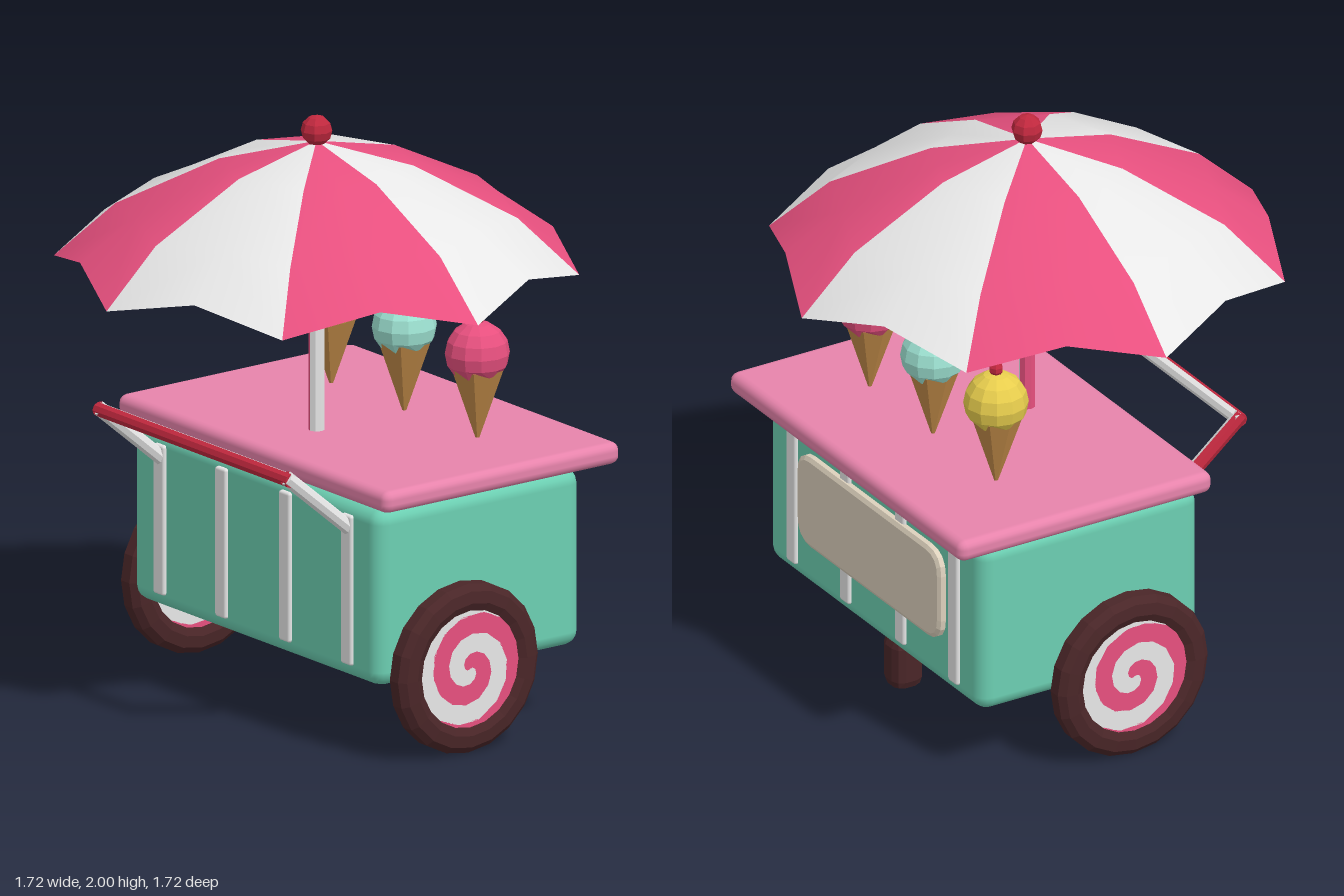
import * as THREE from 'three';
import { RoundedBoxGeometry } from 'three/addons/geometries/RoundedBoxGeometry.js';

function material(name, color, side = THREE.FrontSide) {
  const m = new THREE.MeshStandardMaterial({ color, side });
  m.name = name;
  return m;
}

// Faceted version of a geometry
function flat(geometry) {
  const g = geometry.index ? geometry.toNonIndexed() : geometry;
  g.computeVertexNormals();
  return g;
}

export function createModel() {
  const model = new THREE.Group();
  model.name = 'iceCreamCart';

  const white = material('white', 0xeeeeee, THREE.DoubleSide);
  const pink = material('candyPink', 0xe8507f, THREE.DoubleSide);
  const teal = material('teal', 0x6ccfb2);
  const rose = material('rosePink', 0xe884ac);
  const cream = material('cream', 0xdcd0bc);
  const mint = material('mint', 0x9fe4d4);
  const yellow = material('yellow', 0xf0d550);
  const wafer = material('wafer', 0xc08a48);
  const brown = material('darkBrown', 0x4a2628);
  const red = material('red', 0xc0283e);

  function add(name, geometry, mat, x = 0, y = 0, z = 0, parent = model) {
    const mesh = new THREE.Mesh(geometry, mat);
    mesh.name = name;
    mesh.position.set(x, y, z);
    parent.add(mesh);
    return mesh;
  }

  // Cart body, counter and front foot
  add('body', new RoundedBoxGeometry(0.84, 0.6, 1.32, 2, 0.05), teal, 0.165, 0.55, 0);
  add('counter', new RoundedBoxGeometry(0.97, 0.075, 1.44, 2, 0.03), rose, 0.215, 0.895, 0);
  add('foot', flat(new RoundedBoxGeometry(0.11, 0.19, 0.11, 1, 0.035)), brown, 0.475, 0.135, 0);

  // Upright strips on both long sides
  for (const x of [0.584, -0.254]) {
    for (const z of [-0.5, -0.17, 0.17, 0.5]) {
      add('strip', new RoundedBoxGeometry(0.026, 0.51, 0.06, 1, 0.01), white, x, 0.555, z);
    }
  }

  // Rounded sign panel on the serving side
  const w = 0.43, h = 0.15, r = 0.07;
  const sign = new THREE.Shape();
  sign.moveTo(-w + r, -h);
  sign.lineTo(w - r, -h);
  sign.quadraticCurveTo(w, -h, w, -h + r);
  sign.lineTo(w, h - r);
  sign.quadraticCurveTo(w, h, w - r, h);
  sign.lineTo(-w + r, h);
  sign.quadraticCurveTo(-w, h, -w, h - r);
  sign.lineTo(-w, -h + r);
  sign.quadraticCurveTo(-w, -h, -w + r, -h);
  const signGeometry = new THREE.ExtrudeGeometry(sign, {
    depth: 0.02, bevelThickness: 0.008, bevelSize: 0.014, bevelSegments: 1, curveSegments: 4,
  });
  signGeometry.rotateY(Math.PI / 2);
  add('signPanel', signGeometry, cream, 0.583, 0.583, 0);

  // Candy wheels: faceted tyre with a twisted two-colour disc on each side
  const tyreProfile = [
    [0.19, -0.03], [0.225, -0.047], [0.265, -0.042], [0.287, -0.022],
    [0.287, 0.022], [0.265, 0.042], [0.225, 0.047], [0.19, 0.03],
  ].map(([a, b]) => new THREE.Vector2(a, b));
  const tyre = flat(new THREE.LatheGeometry(tyreProfile, 20).rotateX(Math.PI / 2));
  const R = 0.202;

  function swirl(start) {
    const g = new THREE.RingGeometry(0.001, R, 20, 20, start, Math.PI);
    const p = g.attributes.position;
    for (let i = 0; i < p.count; i++) {
      const radius = Math.hypot(p.getX(i), p.getY(i));
      const angle = Math.atan2(p.getY(i), p.getX(i)) - 3 * Math.PI * radius / R;
      p.setXY(i, radius * Math.cos(angle), radius * Math.sin(angle));
    }
    return g;
  }
  const pinkSwirl = swirl(0.82), whiteSwirl = swirl(0.82 + Math.PI);

  for (const side of [1, -1]) {
    const wheel = new THREE.Group();
    wheel.name = 'wheel';
    wheel.position.set(0.053, 0.287, side * 0.717);
    if (side < 0) wheel.rotation.y = Math.PI;
    model.add(wheel);
    add('tyre', tyre, brown, 0, 0, 0, wheel);
    for (const face of [1, -1]) {
      const disc = new THREE.Group();
      disc.name = 'wheelDisc';
      disc.position.z = face * 0.034;
      if (face < 0) disc.rotation.y = Math.PI;
      wheel.add(disc);
      add('pinkSwirl', pinkSwirl, pink, 0, 0, 0, disc);
      add('whiteSwirl', whiteSwirl, white, 0, 0, 0, disc);
    }
  }

  // Rod whose half towards "facing" is white and other half coloured
  function splitRod(name, from, to, facing, radius, backMaterial) {
    const a = new THREE.Vector3(...from), b = new THREE.Vector3(...to);
    const along = b.clone().sub(a);
    const length = along.length();
    along.normalize();
    const front = new THREE.Vector3(...facing);
    const across = along.clone().cross(front);
    const rod = new THREE.Group();
    rod.name = name;
    rod.quaternion.setFromRotationMatrix(new THREE.Matrix4().makeBasis(across, along, front));
    rod.position.copy(a).add(b).multiplyScalar(0.5);
    model.add(rod);
    const half = (start) => flat(
      new THREE.CylinderGeometry(radius, radius, length, 4, 1, false, start, Math.PI));
    add(name + 'Front', half(-Math.PI / 2), white, 0, 0, 0, rod);
    add(name + 'Back', half(Math.PI / 2), backMaterial, 0, 0, 0, rod);
  }

  // Push handle and parasol pole
  for (const z of [0.5, -0.5]) {
    splitRod('handleArm', [-0.23, 0.745, z], [-0.51, 0.98, z], [0, 0, 1], 0.025, red);
  }
  splitRod('handleBar', [-0.5, 0.97, -0.515], [-0.5, 0.97, 0.515], [1, 0, 0], 0.024, red);
  splitRod('pole', [0, 0.92, 0], [0, 1.9, 0], [0, 0, 1], 0.027, pink);

  // Parasol canopy: eight panels, the rim lifted between the ribs
  const rings = [[0.001, 1.912, 0], [0.32, 1.84, 0], [0.66, 1.675, 0.02], [0.862, 1.49, 0.07]];
  const positions = [], indices = [];
  const canopy = new THREE.BufferGeometry();
  for (const [radius, y, lift] of rings) {
    for (let k = 0; k < 16; k++) {
      const angle = k * Math.PI / 8;
      const mid = k % 2;
      const rr = mid ? radius * Math.cos(Math.PI / 8) : radius;
      positions.push(rr * Math.cos(angle), y + mid * lift, rr * Math.sin(angle));
    }
  }
  for (let k = 0; k < 16; k++) {
    const start = indices.length, n = (k + 1) % 16;
    for (let i = 0; i < rings.length - 1; i++) {
      const a = i * 16 + k, b = i * 16 + n, c = a + 16, d = b + 16;
      // split each quad so that the rib edges mirror each other
      if (k % 2) indices.push(a, b, d, a, d, c);
      else indices.push(a, b, c, b, d, c);
    }
    canopy.addGroup(start, indices.length - start, Math.floor(k / 2) % 2);
  }
  canopy.setAttribute('position', new THREE.Float32BufferAttribute(positions, 3));
  canopy.setIndex(indices);
  canopy.computeVertexNormals();
  add('canopy', canopy, [pink, white]);
  add('finial', flat(new THREE.SphereGeometry(0.052, 8, 6)), red, 0, 1.948, 0);

  // Ice creams: faceted cone, scoop with a ruffled flat base, cherry
  const scoopGeometry = new THREE.SphereGeometry(0.107, 12, 8);
  const sp = scoopGeometry.attributes.position;
  for (let i = 0; i < sp.count; i++) {
    if (sp.getY(i) < -0.06) sp.setY(i, i % 2 ? -0.075 : -0.06);
  }
  const scoop = flat(scoopGeometry);
  const cone = flat(new THREE.CylinderGeometry(0.088, 0.006, 0.24, 8));
  const cherry = flat(new THREE.SphereGeometry(0.025, 6, 5));
  [[0.39, pink], [0, mint], [-0.39, yellow]].forEach(([z, flavour]) => {
    add('cone', cone, wafer, 0.36, 1.05, z);
    add('scoop', scoop, flavour, 0.36, 1.22, z);
    add('cherry', cherry, red, 0.36, 1.34, z);
  });

  return model;
}
